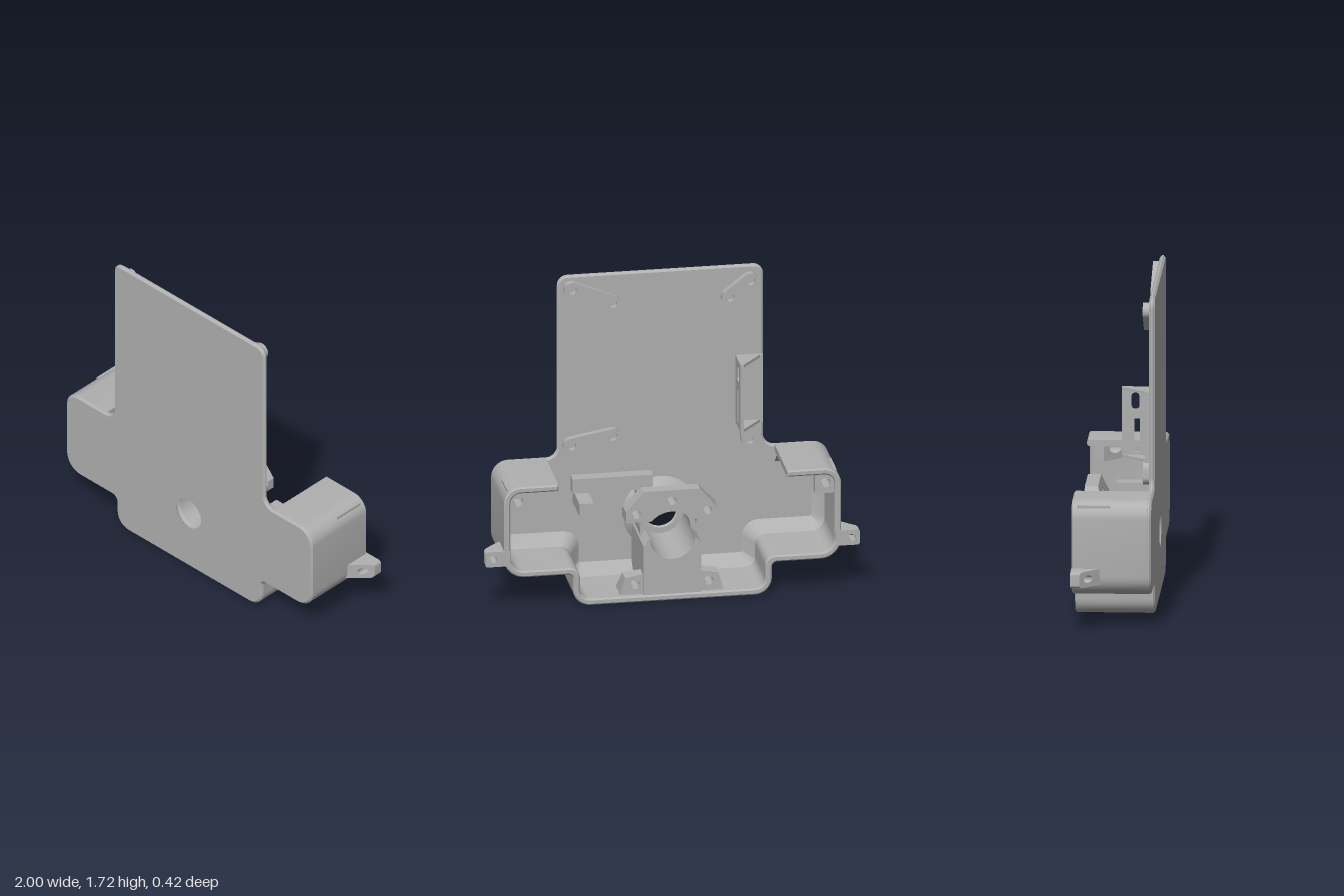
import * as THREE from 'three';
import { toCreasedNormals } from 'three/addons/utils/BufferGeometryUtils.js';

const V = (x, y) => new THREE.Vector2(x, y);

// Polyline with rounded corners from [x, y, radius] entries (right-angled corners)
function rounded(list) {
  const out = [];
  list.forEach(([x, y, r], i) => {
    const p = V(x, y);
    if (!r) { out.push(p); return; }
    const n = list.length, a = list[(i + n - 1) % n], b = list[(i + 1) % n];
    const u = V(x - a[0], y - a[1]).normalize(), v = V(b[0] - x, b[1] - y).normalize();
    const c = p.clone().addScaledVector(u, -r).addScaledVector(v, r);
    for (let k = 0; k <= 8; k++) {
      const t = k / 8 * Math.PI / 2;
      out.push(c.clone().addScaledVector(v, -r * Math.cos(t)).addScaledVector(u, r * Math.sin(t)));
    }
  });
  return out;
}

const mirrored = (half) => [...half, ...half.slice().reverse().map(([x, y, r]) => [-x, y, r])];

// Open path of the casing wall, moved inward by d
function wallPath(d) {
  const r = (v) => Math.max(0.008, v - d);
  return rounded(mirrored([
    [0.61, 0.69 - d, 0],
    [0.9 - d, 0.69 - d, r(0.09)],
    [0.9 - d, 0.18 + d, r(0.11)],
    [0.53 - d, 0.18 + d, 0.03 + d * 0.6],
    [0.53 - d, d, r(0.09)],
  ]));
}

function circle(x, y, r) {
  return new THREE.Path().absarc(x, y, r, 0, Math.PI * 2, true);
}

// Prism along z between z0 and z1, with optional bevel and holes
function prism(shape, z0, z1, bevel = 0, holes = []) {
  shape.holes.push(...holes);
  const g = new THREE.ExtrudeGeometry(shape, {
    depth: z1 - z0 - 2 * bevel, curveSegments: 24, bevelEnabled: bevel > 0,
    bevelThickness: bevel, bevelSize: bevel, bevelOffset: -bevel, bevelSegments: 1,
  });
  return g.translate(0, 0, z0 + bevel);
}

// Move the far end of a prism by a rule z = f(x, y)
function slant(g, z0, f) {
  const p = g.attributes.position;
  for (let i = 0; i < p.count; i++) {
    if (p.getZ(i) > z0 + 1e-4) p.setZ(i, f(p.getX(i), p.getY(i)));
  }
  return g;
}

const poly = (pts) => new THREE.Shape(pts.map(([x, y]) => V(x, y)));
const rect = (x0, y0, x1, y1) => poly([[x0, y0], [x1, y0], [x1, y1], [x0, y1]]);

// Capsule outline between two points
function capsule(x0, y0, x1, y1, r) {
  const a = Math.atan2(y1 - y0, x1 - x0);
  const s = new THREE.Shape();
  s.absarc(x1, y1, r, a - Math.PI / 2, a + Math.PI / 2, false);
  s.absarc(x0, y0, r, a + Math.PI / 2, a + Math.PI * 1.5, false);
  return s;
}

export function createModel() {
  const model = new THREE.Group();
  const grey = new THREE.MeshStandardMaterial({ color: 0xb0b0b0, side: THREE.DoubleSide });
  grey.name = 'grey plastic';
  const add = (name, g) => {
    const m = new THREE.Mesh(toCreasedNormals(g, 0.5), grey);
    m.name = name;
    model.add(m);
    return m;
  };
  const box = (name, x0, x1, y0, y1, z0, z1) =>
    add(name, new THREE.BoxGeometry(x1 - x0, y1 - y0, z1 - z0)
      .translate((x0 + x1) / 2, (y0 + y1) / 2, (z0 + z1) / 2));

  // Front plate with shaft hole
  const outline = rounded(mirrored([
    [0.55, 1.715, 0.055], [0.55, 0.69, 0.06], [0.9, 0.69, 0.09],
    [0.9, 0.18, 0.11], [0.53, 0.18, 0.03], [0.53, 0, 0.09],
  ]));
  add('frontPlate', prism(new THREE.Shape(outline), 0.18, 0.21, 0.011, [circle(0, 0.35, 0.1)]));

  // Casing wall, open at the top centre
  const wall = new THREE.Shape([...wallPath(0), ...wallPath(0.035).reverse()]);
  add('casingWall', prism(wall, -0.21, 0.197, 0.008));

  // Sloped band joining wall and plate
  const a = wallPath(0.033), b = wallPath(0.095), pos = [], idx = [];
  a.forEach((p, i) => {
    pos.push(p.x, p.y, 0.11, b[i].x, b[i].y, 0.181);
    if (i) idx.push(2 * i - 2, 2 * i - 1, 2 * i, 2 * i, 2 * i - 1, 2 * i + 1);
  });
  const band = new THREE.BufferGeometry();
  band.setAttribute('position', new THREE.Float32BufferAttribute(pos, 3));
  band.setIndex(idx);
  band.computeVertexNormals();
  add('innerChamfer', band);

  // Board mounts: links with two screw holes
  const links = [
    [0.476, 1.645, 0.26, 1.555], [-0.365, 1.55, -0.475, 1.635], [0.48, 0.765, 0.26, 0.805],
  ];
  for (const [x0, y0, x1, y1] of links) {
    add('boardMount', prism(capsule(x0, y0, x1, y1, 0.042), 0.145, 0.185, 0,
      [circle(x0, y0, 0.024), circle(x1, y1, 0.024)]));
  }
  add('boardMount', prism(capsule(-0.47, 0.74, -0.465, 0.78, 0.042), 0.145, 0.185, 0,
    [circle(-0.47, 0.74, 0.024)]));

  // Switch bracket: slotted wall, base and two triangular gussets
  const roundSlot = new THREE.Path(capsule(0.102, 1.11, 0.102, 1.16, 0.021).getPoints(12).reverse());
  const squareSlot = new THREE.Path([[0.096, 0.86], [0.096, 1.04], [0.126, 1.04], [0.126, 0.86]]
    .map(([x, y]) => V(x, y)));
  add('bracketWall', prism(rect(0.03, 0.83, 0.181, 1.21), 0, 0.018, 0, [roundSlot, squareSlot])
    .rotateY(-Math.PI / 2).translate(-0.402, 0, 0));
  box('bracketBase', -0.545, -0.402, 0.83, 1.21, 0.16, 0.182);
  for (const y of [0.83, 1.195]) {
    add('bracketGusset', prism(poly([[-0.545, -0.181], [-0.402, -0.181], [-0.402, -0.03], [-0.42, -0.03]]),
      y, y + 0.015).rotateX(-Math.PI / 2));
  }

  // Sensor rail and its two posts
  box('sensorRail', 0.05, 0.48, 0.51, 0.59, 0.11, 0.182);
  box('sensorPost', 0.395, 0.47, 0.44, 0.51, -0.045, 0.182);
  box('sensorPost', 0.05, 0.14, 0.44, 0.51, -0.045, 0.182);

  // Shaft sleeve flaring into the plate
  const sleeve = [[0.12, 0.182], [0.12, -0.06], [0.15, -0.06], [0.15, 0.13], [0.205, 0.182]];
  add('shaftSleeve', new THREE.LatheGeometry(sleeve.map(([r, z]) => V(r, z)), 48)
    .rotateX(Math.PI / 2).translate(0, 0.35, 0));

  // Clamp flange with arch and a slanted front side
  const t = Math.asin(0.09 / 0.14), c = 0.14 * Math.cos(t);
  const clamp = new THREE.Shape();
  clamp.moveTo(c, 0.44).lineTo(0.245, 0.44).lineTo(0.245, 0.5).lineTo(0.15, 0.61)
    .lineTo(-0.15, 0.61).lineTo(-0.245, 0.5).lineTo(-0.245, 0.44).lineTo(-c, 0.44);
  clamp.absarc(0, 0.35, 0.14, Math.PI - t, t, true);
  add('clampFlange', slant(prism(clamp, -0.18, -0.05, 0,
    [circle(0.19, 0.485, 0.024), circle(0, 0.55, 0.024), circle(-0.19, 0.485, 0.024)]),
    -0.18, (x, y) => -0.11 + (0.61 - y) / 0.17 * 0.06));

  // Cradle under the shaft
  const cradle = new THREE.Shape();
  cradle.moveTo(-0.155, 0.015).lineTo(0.155, 0.015).lineTo(0.155, 0.31).lineTo(0.12, 0.35);
  cradle.absarc(0, 0.35, 0.12, 0, Math.PI, true);
  cradle.lineTo(-0.155, 0.31);
  add('shaftCradle', prism(cradle, -0.2, 0.182));

  for (const s of [1, -1]) {
    const span = (x0, y0, x1, y1) => rect(Math.min(s * x0, s * x1), y0, Math.max(s * x0, s * x1), y1);
    // Screw bosses beside the cradle
    const low = poly([[0.14, 0.02], [0.28, 0.02], [0.25, 0.13], [0.14, 0.15]]
      .map(([x, y]) => [s * x, y]));
    add('lowerBoss', slant(prism(low, -0.18, -0.05, 0, [circle(s * 0.197, 0.09, 0.025)]),
      -0.18, (x, y) => -0.03 - (y - 0.02) * 0.6));
    // Screw bosses in the upper corners
    add('cornerBoss', slant(prism(span(0.765, 0.54, 0.88, 0.67), -0.18, -0.05, 0,
      [circle(s * 0.82, 0.6, 0.027)]), -0.18, (x) => -0.13 + (Math.abs(x) - 0.765) * 1.1));
    // Side lugs with a sloped front
    const lug = new THREE.Shape(rounded([
      [s * 0.87, 0.25, 0], [s * 1, 0.25, 0.015], [s * 1, 0.335, 0.015], [s * 0.87, 0.335, 0],
    ]));
    add('sideLug', slant(prism(lug, -0.21, -0.1, 0, [circle(s * 0.958, 0.292, 0.02)]),
      -0.21, (x) => -0.06 - (Math.abs(x) - 0.9)));
  }
  return model;
}
